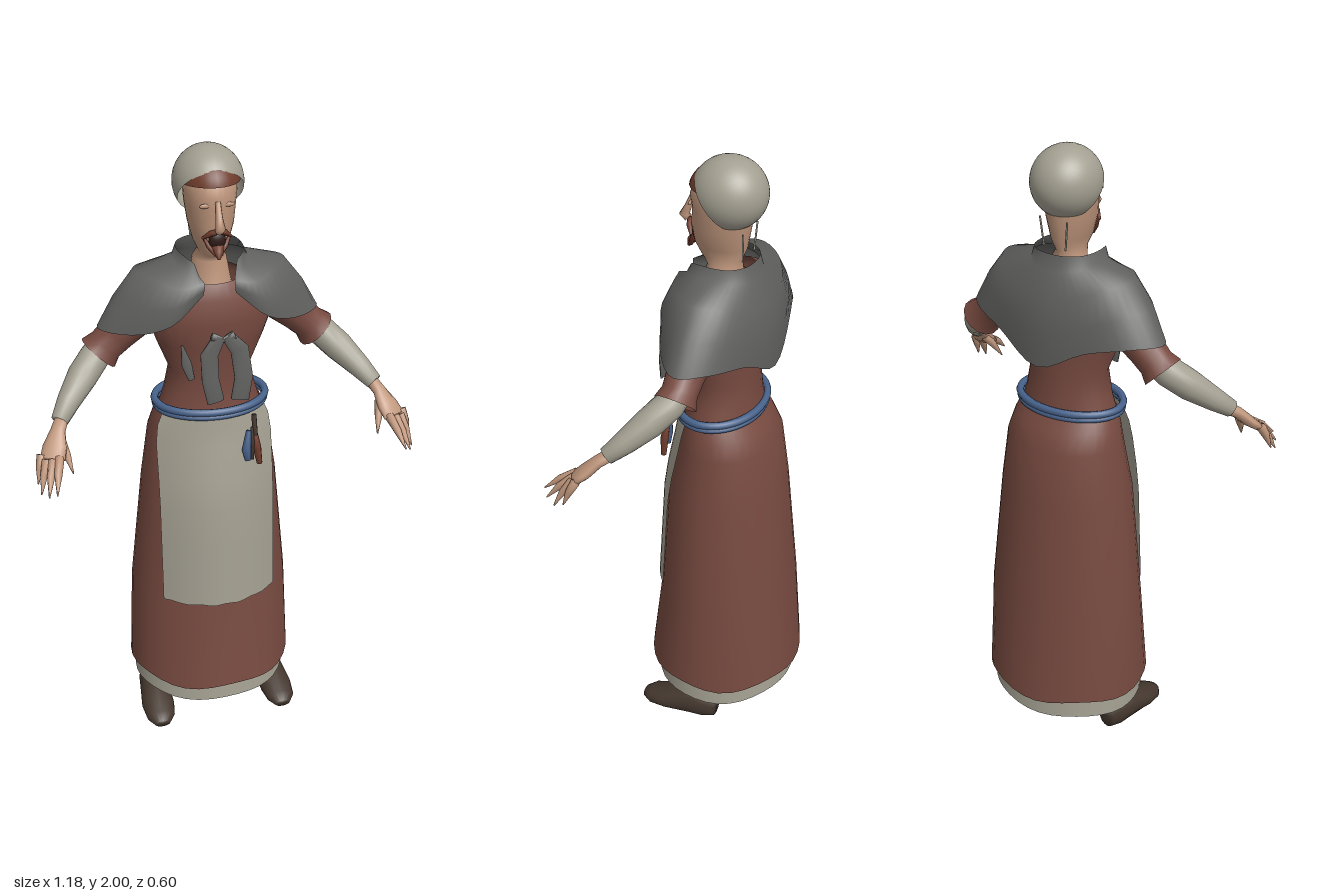
import * as THREE from 'three';

const mat = (name, color) => {
  const m = new THREE.MeshStandardMaterial({ color, side: THREE.DoubleSide });
  m.name = name;
  return m;
};
const V = (x, y, z) => new THREE.Vector3(x, y, z);

// Skin a list of rings (arrays of Vector3), ordered from bottom to top
function loft(rings, closed = true) {
  const n = rings[0].length, idx = [], span = closed ? n : n - 1;
  for (let j = 0; j < rings.length - 1; j++) {
    for (let i = 0; i < span; i++) {
      const a = j * n + i, b = j * n + (i + 1) % n;
      idx.push(a, b, b + n, a, b + n, a + n);
    }
  }
  const g = new THREE.BufferGeometry().setFromPoints(rings.flat());
  g.setIndex(idx);
  g.computeVertexNormals();
  return g;
}

// Upright elliptical body from rows [y, halfWidth, zFront, zBack]
function body(rows, n = 28, hem = 0) {
  return loft(rows.map(([y, rx, zf, zb], j) => Array.from({ length: n }, (_, i) => {
    const a = (i / n) * Math.PI * 2;
    const dy = j === 0 ? hem * Math.sin(5 * a + 1) : 0;
    return V(rx * Math.sin(a), y + dy, (zf + zb) / 2 + (zf - zb) / 2 * Math.cos(a));
  })));
}

// Tapered limb through rows [x, y, z, radius, otherRadius]; s mirrors it in x
function limb(rows, s = 1, n = 12, capped = true) {
  const pts = rows.map(r => V(r[0] * s, r[1], r[2]));
  const last = pts.length - 1;
  const whole = pts[last].clone().sub(pts[0]).normalize();
  const ref = Math.abs(whole.y) > 0.85 ? V(0, 0, 1) : V(0, 1, 0);
  const rings = pts.map((p, k) => {
    const t = pts[Math.min(k + 1, last)].clone().sub(pts[Math.max(k - 1, 0)]).normalize();
    const v = ref.clone().addScaledVector(t, -ref.dot(t)).normalize();
    const u = t.clone().cross(v);
    const ru = rows[k][3], rv = rows[k][4] ?? ru;
    return Array.from({ length: n }, (_, i) => {
      const a = (i / n) * Math.PI * 2;
      return p.clone().addScaledVector(u, ru * Math.sin(a)).addScaledVector(v, rv * Math.cos(a));
    });
  });
  if (capped) {
    rings.unshift(Array(n).fill(pts[0]));
    rings.push(Array(n).fill(pts[last]));
  }
  return loft(rings);
}

function ball(rx, ry, rz, x, y, z) {
  return new THREE.SphereGeometry(1, 16, 12).scale(rx, ry, rz).translate(x, y, z);
}

const SKIRT = [
  [0.18, 0.275, 0.21, -0.298], [0.5, 0.262, 0.166, -0.272], [0.9, 0.222, 0.138, -0.235],
  [1.07, 0.197, 0.1, -0.212], [1.13, 0.182, 0.09, -0.18], [1.17, 0.165, 0.085, -0.155],
];
function skirtRow(y) {
  let k = 0;
  while (k < SKIRT.length - 2 && y > SKIRT[k + 1][0]) k++;
  const f = (y - SKIRT[k][0]) / (SKIRT[k + 1][0] - SKIRT[k][0]);
  return SKIRT[k].map((v, i) => THREE.MathUtils.lerp(v, SKIRT[k + 1][i], f));
}

// Draped cape: half rings from the front edge to the middle of the back
function capeGeometry() {
  const halves = [
    [[0.05, 1.585, 0.095], [0.15, 1.5, 0.105], [0.26, 1.462, 0.055], [0.35, 1.455, -0.035], [0.295, 1.455, -0.12], [0.16, 1.425, -0.175], [0, 1.35, -0.2]],
    [[0.047, 1.605, 0.1], [0.14, 1.56, 0.11], [0.24, 1.55, 0.05], [0.298, 1.55, -0.035], [0.25, 1.54, -0.12], [0.14, 1.5, -0.177], [0, 1.46, -0.203]],
    [[0.045, 1.625, 0.1], [0.12, 1.61, 0.09], [0.195, 1.63, 0.03], [0.235, 1.632, -0.035], [0.2, 1.62, -0.11], [0.13, 1.59, -0.16], [0, 1.57, -0.188]],
    [[0.055, 1.635, 0.07], [0.085, 1.645, 0.05], [0.11, 1.655, 0.01], [0.115, 1.66, -0.04], [0.1, 1.655, -0.09], [0.06, 1.645, -0.13], [0, 1.64, -0.145]],
    [[0.065, 1.67, 0.05], [0.085, 1.685, 0.035], [0.098, 1.69, 0.0], [0.1, 1.69, -0.045], [0.088, 1.69, -0.09], [0.05, 1.69, -0.122], [0, 1.69, -0.13]],
  ];
  return loft(halves.map(h => {
    const whole = [...h, ...h.slice(0, -1).reverse().map(([x, y, z]) => [-x, y, z])];
    return new THREE.CatmullRomCurve3(whole.map(p => V(...p))).getPoints(48);
  }), false);
}

export function createModel() {
  const group = new THREE.Group();
  const dress = mat('russet cloth', 0x774a40), linen = mat('linen', 0xa39f91);
  const grey = mat('grey wool', 0x616160), skin = mat('skin', 0xbf967c);
  const hair = mat('auburn hair', 0x6f3c2c), leather = mat('dark leather', 0x44372e);
  const blue = mat('blue cord', 0x48638c), dark = mat('dark mouth', 0x2e1b18);
  const add = (name, geometry, material, parent = group) => {
    const m = new THREE.Mesh(geometry, material);
    m.name = name;
    parent.add(m);
    return m;
  };

  // Dress and underskirt
  add('skirt', body(SKIRT, 36, 0.008), dress);
  add('underskirt', body([[0.11, 0.26, 0.185, -0.275], [0.3, 0.25, 0.165, -0.26]], 36, 0.004), linen);
  add('bodice', body([
    [1.15, 0.168, 0.085, -0.155], [1.22, 0.146, 0.075, -0.145], [1.3, 0.13, 0.072, -0.14],
    [1.4, 0.17, 0.085, -0.14], [1.48, 0.195, 0.098, -0.14], [1.56, 0.175, 0.09, -0.145],
    [1.605, 0.1, 0.065, -0.12],
  ]), dress);

  // Apron bowed over the skirt front
  const apronRows = [0.51, 0.62, 0.74, 0.86, 0.96, 1.07, 1.13, 1.18];
  add('apron', loft(apronRows.map(y => {
    const [, rx, zf] = skirtRow(y);
    const half = Math.min(0.188, rx * 0.99);
    return Array.from({ length: 17 }, (_, i) => {
      const u = i / 8 - 1;
      const ragged = y < 0.55 ? 0.003 * Math.sin(i * 1.7) : 0;
      return V(u * half - 0.003, y + ragged, zf + 0.022 - 0.08 * u * u);
    });
  }), false), linen);

  // Belt of two cords
  for (const [y, r] of [[1.19, 0.012], [1.173, 0.009]]) {
    const loop = Array.from({ length: 16 }, (_, i) => {
      const a = i / 16 * Math.PI * 2;
      return V(0.178 * Math.sin(a), y, -0.025 + 0.13 * Math.cos(a));
    });
    add('belt', new THREE.TubeGeometry(new THREE.CatmullRomCurve3(loop, true), 48, r, 8, true), blue);
  }

  // Small tools hanging from the belt
  add('bluePouch', limb([[0.085, 1.02, 0.13, 0.01], [0.08, 1.06, 0.13, 0.016], [0.088, 1.12, 0.12, 0.008]], 1, 8), blue);
  add('knifeSheath', limb([[0.125, 1.0, 0.125, 0.009], [0.115, 1.06, 0.125, 0.014], [0.11, 1.1, 0.12, 0.01]], 1, 8), hair);
  add('knifeHandle', limb([[0.11, 1.1, 0.12, 0.009], [0.108, 1.17, 0.11, 0.008]], 1, 8), leather);
  add('smallBlade', limb([[0.1, 1.02, 0.13, 0.005], [0.099, 1.08, 0.128, 0.007], [0.1, 1.13, 0.118, 0.005]], 1, 6), leather);

  // Pair of gloves and a strip held out in front of the chest
  add('leftGlove', limb([[0.05, 1.255, 0.153, 0.03, 0.007], [0.062, 1.33, 0.15, 0.03, 0.008], [0.05, 1.42, 0.143, 0.03, 0.007], [0.012, 1.468, 0.14, 0.02, 0.01]], 1, 10), grey);
  add('rightGlove', limb([[-0.026, 1.255, 0.153, 0.028, 0.007], [-0.042, 1.33, 0.15, 0.028, 0.008], [-0.044, 1.41, 0.143, 0.029, 0.007], [-0.012, 1.468, 0.14, 0.02, 0.01]], 1, 10), grey);
  add('gloveTie', limb([[-0.035, 1.47, 0.14, 0.012, 0.014], [0, 1.455, 0.14, 0.007, 0.009], [0.035, 1.47, 0.14, 0.012, 0.014]], 1, 8), grey);
  add('strip', limb([[-0.1, 1.34, 0.15, 0.01, 0.004], [-0.115, 1.39, 0.15, 0.016, 0.004], [-0.128, 1.455, 0.145, 0.004]], 1, 8), grey);

  add('cape', capeGeometry(), grey);

  // Head and neck
  add('head', body([
    [1.54, 0.075, 0.05, -0.09], [1.6, 0.062, 0.045, -0.09], [1.66, 0.052, 0.022, -0.085],
    [1.683, 0.036, 0.045, -0.085], [1.72, 0.053, 0.064, -0.1], [1.78, 0.069, 0.074, -0.11],
    [1.84, 0.077, 0.071, -0.12], [1.875, 0.08, 0.077, -0.125], [1.925, 0.078, 0.06, -0.125],
    [1.965, 0.035, 0.005, -0.09], [1.972, 0.005, -0.03, -0.04],
  ]), skin);
  add('nose', limb([[0, 1.865, 0.072, 0.008], [0, 1.82, 0.09, 0.011], [0, 1.793, 0.103, 0.016], [0, 1.782, 0.09, 0.013]], 1, 8), skin);
  add('mouth', ball(0.026, 0.028, 0.014, 0, 1.744, 0.066), dark);
  add('goatee', limb([[0, 1.692, 0.09, 0.004], [0, 1.712, 0.082, 0.014, 0.012], [0, 1.73, 0.066, 0.022, 0.012]], 1, 10), hair);

  // Tilted cap over a band of hair
  const cap = new THREE.SphereGeometry(1, 32, 20, 0, Math.PI * 2, 0, Math.PI * 0.62);
  add('linenCap', cap.rotateX(-0.93).scale(0.107, 0.11, 0.115).translate(0, 1.89, -0.045), linen);
  const fringe = new THREE.SphereGeometry(1, 28, 14, 0, Math.PI * 2, 0, Math.PI * 0.455);
  add('hair', fringe.rotateX(-0.1).scale(0.093, 0.096, 0.113).translate(0, 1.886, -0.032), hair);

  for (const s of [1, -1]) {
    const side = new THREE.Group();
    side.name = s > 0 ? 'leftSide' : 'rightSide';
    group.add(side);

    // Face details
    add('moustache', limb([[0, 1.779, 0.084, 0.009], [0.022, 1.771, 0.076, 0.009], [0.044, 1.752, 0.06, 0.004]], s, 8), hair, side);
    add('jawBeard', limb([[0.04, 1.755, 0.06, 0.004], [0.026, 1.728, 0.065, 0.008], [0.006, 1.704, 0.08, 0.007]], s, 8), hair, side);
    add('eyelid', ball(0.018, 0.007, 0.004, s * 0.036, 1.852, 0.064), skin, side);
    add('capString', limb([[0.04, 1.7, -0.105, 0.003], [0.05, 1.79, -0.11, 0.003]], s, 6), linen, side);

    // Arms
    add('sleeve', limb([[0.12, 1.54, -0.03, 0.08], [0.22, 1.495, -0.04, 0.07], [0.29, 1.428, -0.04, 0.058], [0.325, 1.395, -0.04, 0.055], [0.349, 1.37, -0.038, 0.066]], s, 14, false), dress, side);
    add('forearm', limb([[0.3, 1.42, -0.045, 0.042], [0.36, 1.37, -0.025, 0.047], [0.41, 1.325, 0.015, 0.047], [0.465, 1.272, 0.07, 0.036], [0.5, 1.235, 0.112, 0.027]], s, 14), linen, side);
    add('palm', limb([[0.49, 1.24, 0.1, 0.02], [0.51, 1.215, 0.135, 0.023, 0.018], [0.527, 1.18, 0.17, 0.038, 0.018], [0.54, 1.155, 0.2, 0.04, 0.014]], s, 10), skin, side);
    const fingers = [
      [0.57, 1.165, 0.18, 0.589, 1.085, 0.215], [0.558, 1.155, 0.198, 0.585, 1.068, 0.25],
      [0.54, 1.155, 0.205, 0.567, 1.075, 0.285], [0.52, 1.16, 0.205, 0.545, 1.09, 0.304],
      [0.505, 1.19, 0.155, 0.482, 1.105, 0.215],
    ];
    for (const [x, y, z, a, b, c] of fingers) {
      add('finger', limb([[x, y, z, 0.015], [(x + a) / 2, (y + b) / 2 + 0.006, (z + c) / 2, 0.012], [a, b, c, 0.002]], s, 8), skin, side);
    }

    // Legs and shoes
    add('stocking', limb([[0.2, 0.06, -0.05, 0.036], [0.17, 0.3, -0.05, 0.05], [0.12, 0.6, -0.04, 0.07]], s), grey, side);
    add('shoe', limb([
      [0.205, 0.055, -0.1, 0.03, 0.042], [0.205, 0.058, -0.06, 0.045, 0.056], [0.208, 0.056, 0, 0.05, 0.054],
      [0.213, 0.04, 0.08, 0.056, 0.036], [0.215, 0.031, 0.135, 0.048, 0.027], [0.215, 0.024, 0.165, 0.026, 0.016],
    ], s, 16), leather, side);
  }
  return group;
}
